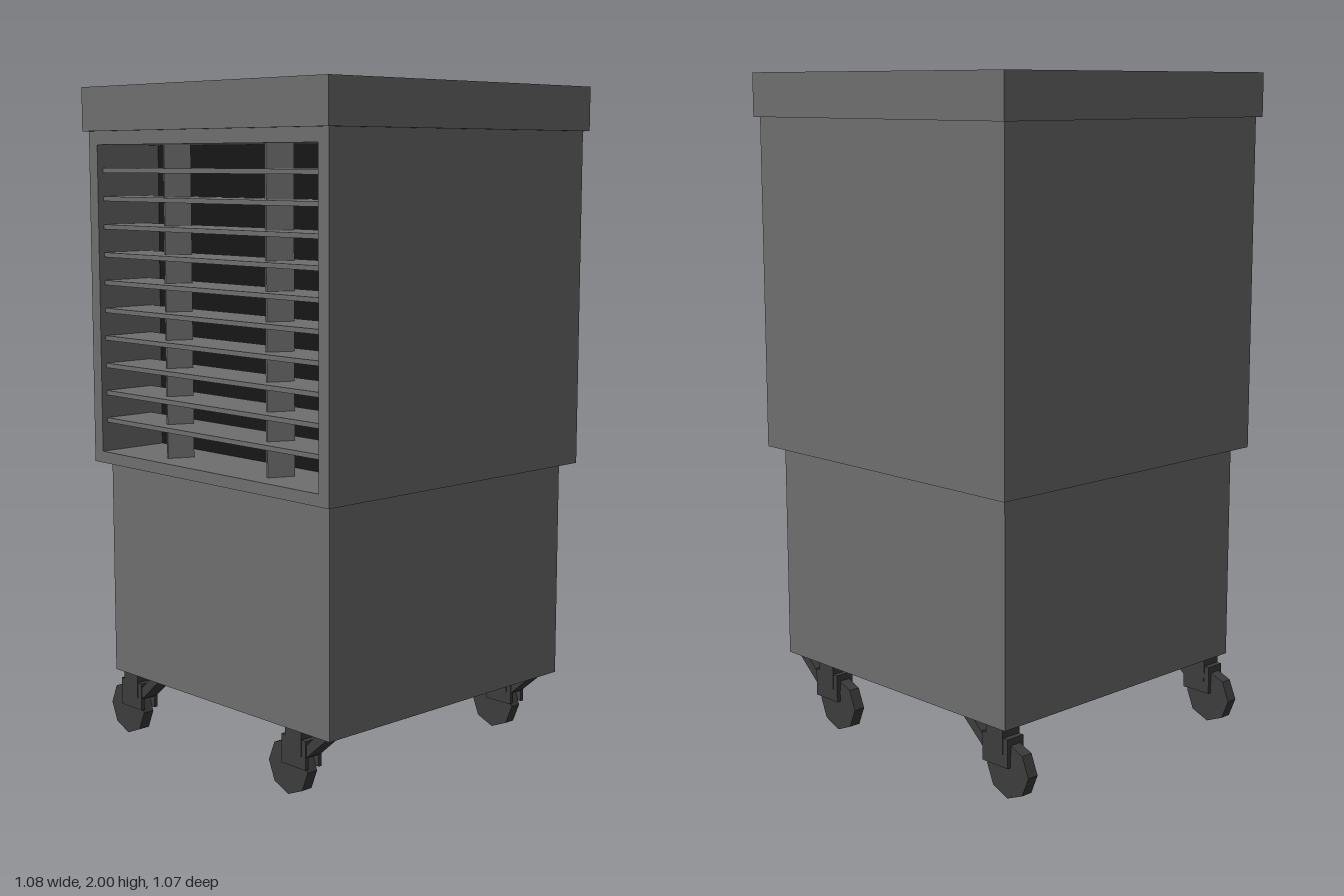
import * as THREE from 'three';

const CX = 0.004; // cabinet centre in x

const mat = (color, side = THREE.FrontSide) =>
  new THREE.MeshStandardMaterial({ color, side, flatShading: true });
const grey = mat(0x6e6e6e);
const greyInside = mat(0x6e6e6e, THREE.BackSide);
const dark = mat(0x3c3c3c);
const black = mat(0x161616);

function add(parent, name, geometry, material, x = 0, y = 0, z = 0) {
  const mesh = new THREE.Mesh(geometry, material);
  mesh.name = name;
  mesh.position.set(x, y, z);
  parent.add(mesh);
  return mesh;
}

const box = (w, h, d) => new THREE.BoxGeometry(w, h, d);

// Box without its +z face
function openBox(w, h, d) {
  const g = box(w, h, d);
  const index = Array.from(g.index.array);
  index.splice(24, 6);
  g.setIndex(index);
  g.clearGroups();
  return g;
}

function rectPoints(w, h, cy = 0) {
  return [[-1, -1], [1, -1], [1, 1], [-1, 1]].map(
    ([x, y]) => new THREE.Vector2((x * w) / 2, cy + (y * h) / 2));
}

// Caster: octagonal wheel, forked bracket and slanted brake arm
function makeCaster() {
  const caster = new THREE.Group();
  caster.name = 'caster';
  const wheel = add(caster, 'wheel', new THREE.CylinderGeometry(0.082, 0.082, 0.036, 8), dark, 0, 0.083, 0);
  wheel.rotation.x = Math.PI / 2;
  add(caster, 'casterStem', box(0.066, 0.08, 0.066), dark, 0.037, 0.172, 0);
  add(caster, 'forkCrown', box(0.1, 0.05, 0.062), dark, 0.037, 0.155, 0);
  for (const s of [-1, 1]) {
    add(caster, 'forkPlate', box(0.1, 0.085, 0.012), dark, 0.037, 0.1375, s * 0.025);
  }
  const arm = new THREE.Shape([
    new THREE.Vector2(0.085, 0.13), new THREE.Vector2(0.18, 0.212),
    new THREE.Vector2(0.135, 0.212), new THREE.Vector2(0.085, 0.165),
  ]);
  const armGeo = new THREE.ExtrudeGeometry(arm, { depth: 0.056, bevelEnabled: false });
  add(caster, 'brakeArm', armGeo, dark, 0, 0, -0.028);
  return caster;
}

export function createModel() {
  const model = new THREE.Group();
  model.name = 'airCooler';

  // Stacked cabinet
  add(model, 'lid', box(1.07, 0.13, 1.07), grey, CX, 1.935, 0);
  add(model, 'waterTank', box(0.968, 0.66, 0.968), grey, CX, 0.54, 0);
  add(model, 'housing', openBox(1.042, 1, 1.042), grey, CX, 1.37, 0);

  // Front frame around the air outlet
  const openW = 0.962, openH = 0.925, openY = 1.3675, front = 0.521, depth = 0.24;
  const frame = new THREE.Shape(rectPoints(1.042, 1));
  frame.holes.push(new THREE.Path(rectPoints(openW, openH, openY - 1.37).reverse()));
  add(model, 'frontFrame', new THREE.ShapeGeometry(frame), grey, CX, 1.37, front);
  add(model, 'outletRecess', openBox(openW, openH, depth), greyInside, CX, openY, front - depth / 2);
  add(model, 'outletBack', box(openW, openH, 0.01), black, CX, openY, front - depth + 0.006);

  // Horizontal louvres
  const pitch = 0.0838;
  for (let i = 0; i < 10; i++) {
    add(model, 'louvre', box(openW, 0.014, 0.17), grey, CX, 1.0 + i * pitch, 0.417);
  }

  // Angled vertical vanes behind the louvre edges
  for (const x of [-0.225, 0.222]) {
    const vane = add(model, 'vane', box(0.014, openH, 0.08), grey, x, openY, 0.42);
    vane.rotation.y = -0.42;
  }

  // Four casters, all trailing the same way
  for (const x of [-0.463, 0.286]) {
    for (const z of [-0.439, 0.436]) {
      const caster = makeCaster();
      caster.position.set(x, 0, z);
      model.add(caster);
    }
  }
  return model;
}
